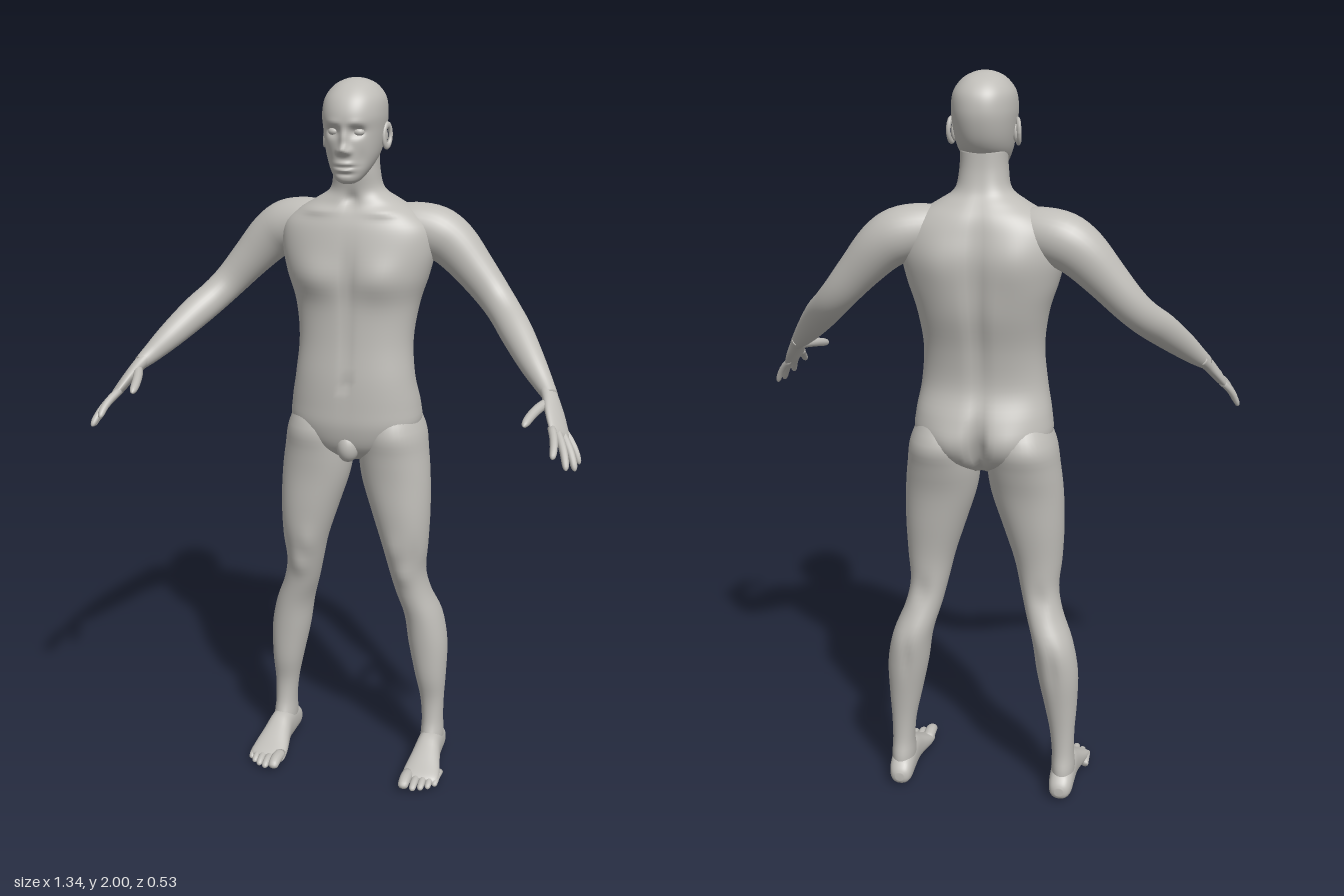
import * as THREE from 'three';

const V = (x, y, z) => new THREE.Vector3(x, y, z);
const UP = V(0, 1, 0), FORWARD = V(0, 0, 1);

// Smooth in-between rows through a list of number rows
function refine(rows, steps) {
  const out = [], last = rows.length - 1;
  for (let i = 0; i < last; i++) {
    const a = rows[Math.max(i - 1, 0)], b = rows[i], c = rows[i + 1], d = rows[Math.min(i + 2, last)];
    for (let s = 0; s < steps; s++) {
      const t = s / steps;
      out.push(b.map((_, k) => b[k] + 0.5 * t * (c[k] - a[k] + t * (2 * a[k] - 5 * b[k] + 4 * c[k] - d[k]
        + t * (3 * (b[k] - c[k]) + d[k] - a[k])))));
    }
  }
  out.push(rows[last]);
  return out;
}

// Closed skin over rounded sections [x, y, z, radiusU, radiusV]; a fixed axis keeps sections parallel
function loft(rows, { ref, axis = null, seg = 24, steps = 4, power = 2 }) {
  const st = refine(rows, steps), pos = [], idx = [], n = st.length;
  const at = i => V(st[i][0], st[i][1], st[i][2]);
  for (let i = 0; i < n; i++) {
    const t = axis ? axis : at(Math.min(i + 1, n - 1)).sub(at(Math.max(i - 1, 0))).normalize();
    const u = ref.clone().addScaledVector(t, -ref.dot(t)).normalize(), v = t.clone().cross(u);
    for (let j = 0; j < seg; j++) {
      const a = j / seg * Math.PI * 2, c = Math.cos(a), s = Math.sin(a);
      const cu = Math.sign(c) * Math.abs(c) ** (2 / power), sv = Math.sign(s) * Math.abs(s) ** (2 / power);
      const p = at(i).addScaledVector(u, cu * st[i][3]).addScaledVector(v, sv * st[i][4]);
      pos.push(p.x, p.y, p.z);
    }
  }
  for (let i = 0; i < n - 1; i++) for (let j = 0; j < seg; j++) {
    const k = (j + 1) % seg, a = i * seg + j, b = i * seg + k;
    idx.push(a, b, b + seg, a, b + seg, a + seg);
  }
  pos.push(...at(0).toArray(), ...at(n - 1).toArray());
  for (let j = 0; j < seg; j++) {
    const k = (j + 1) % seg;
    idx.push(n * seg, k, j, n * seg + 1, (n - 1) * seg + j, (n - 1) * seg + k);
  }
  const g = new THREE.BufferGeometry();
  g.setAttribute('position', new THREE.Float32BufferAttribute(pos, 3));
  g.setIndex(idx);
  g.computeVertexNormals();
  return g;
}

// Horizontal sections given as [y, centreX, halfWidth, back, front]
const column = (rows, opt) => loft(rows.map(([y, x, w, b, f]) => [x, y, (b + f) / 2, w, (f - b) / 2]),
  { ref: V(1, 0, 0), axis: UP, ...opt });

// Soft bumps and hollows [x, y, spreadX, spreadY, depth, side], alike on left and right
function sculpt(g, bumps, mid) {
  const p = g.attributes.position;
  for (let i = 0; i < p.count; i++) {
    const x = Math.abs(p.getX(i)), y = p.getY(i), z = p.getZ(i);
    let dz = 0;
    for (const [bx, by, sx, sy, d, side] of bumps) {
      const k = THREE.MathUtils.clamp((z - mid) * side / 0.06, 0, 1);
      dz += side * k * d * Math.exp(-(((x - bx) / sx) ** 2) - ((y - by) / sy) ** 2);
    }
    p.setZ(i, z + dz);
  }
  g.computeVertexNormals();
  return g;
}

// Mirrored copy across x with corner order restored
function mirrored(g) {
  const m = g.clone().scale(-1, 1, 1), ix = m.index;
  for (let i = 0; i < ix.count; i += 3) {
    const a = ix.getX(i);
    ix.setX(i, ix.getX(i + 1));
    ix.setX(i + 1, a);
  }
  m.computeVertexNormals();
  return m;
}

// Bent, round-tipped finger or toe
function digit(a, b, c, r, ref, flat = 1) {
  const curve = new THREE.QuadraticBezierCurve3(a, b, c);
  const rows = [[0, 1], [0.3, 1], [0.6, 0.95], [0.85, 0.85], [0.96, 0.55], [1, 0.1]].map(([t, k]) =>
    [...curve.getPoint(t).toArray(), r * k, r * k * flat]);
  return loft(rows, { ref, seg: 12, steps: 2 });
}

const ball = (p, r, s) => new THREE.SphereGeometry(1, 24, 16).scale(r * s[0], r * s[1], r * s[2]).translate(...p);

export function createModel() {
  const root = new THREE.Group();
  const clay = new THREE.MeshStandardMaterial({ color: 0xbfbdb8 });
  clay.name = 'warm grey';
  const add = (name, g) => {
    const m = new THREE.Mesh(g, clay);
    m.name = name;
    root.add(m);
  };
  const pair = (name, g) => {
    add('left' + name, g);
    add('right' + name, mirrored(g));
  };

  // Torso and neck
  const torso = column([
    [0.96, 0, 0.05, -0.17, -0.06], [1.0, 0, 0.14, -0.225, -0.02], [1.06, 0, 0.183, -0.25, -0.002],
    [1.12, 0, 0.182, -0.243, -0.001], [1.2, 0, 0.168, -0.216, -0.004], [1.3, 0, 0.16, -0.225, -0.014],
    [1.4, 0, 0.173, -0.25, -0.018], [1.48, 0, 0.198, -0.258, -0.014], [1.55, 0, 0.212, -0.26, -0.018],
    [1.61, 0, 0.205, -0.248, -0.03], [1.65, 0, 0.165, -0.235, -0.045], [1.68, 0, 0.115, -0.215, -0.058],
    [1.71, 0, 0.073, -0.195, -0.063], [1.76, 0, 0.062, -0.183, -0.055], [1.81, 0, 0.06, -0.18, -0.055],
  ], { seg: 80, steps: 5, power: 2.3 });
  add('torso', sculpt(torso, [
    [0.09, 1.48, 0.07, 0.055, 0.016, 1], [0, 1.48, 0.018, 0.08, -0.008, 1], // chest
    [0, 1.3, 0.012, 0.12, -0.005, 1], [0, 1.19, 0.01, 0.012, -0.012, 1], // abdomen
    [0.1, 1.54, 0.06, 0.09, 0.012, -1], [0, 1.4, 0.022, 0.22, -0.014, -1], // shoulder blades and spine
    [0.08, 1.04, 0.055, 0.06, 0.014, -1], [0, 1.03, 0.016, 0.08, -0.04, -1], // buttocks
    [0.1, 1.655, 0.05, 0.012, 0.008, 1], [0, 1.685, 0.018, 0.02, -0.012, 1], // collarbones
  ], -0.125));
  add('groin', ball([0, 1.005, -0.035], 1, [0.032, 0.045, 0.035]));

  // Head with face relief
  const head = column([
    [1.735, 0, 0.018, -0.06, -0.012], [1.745, 0, 0.034, -0.085, 0.0], [1.77, 0, 0.052, -0.13, 0.005],
    [1.8, 0, 0.066, -0.175, 0.006], [1.83, 0, 0.074, -0.2, 0.007], [1.87, 0, 0.08, -0.215, 0.008],
    [1.91, 0, 0.083, -0.22, 0.012], [1.95, 0, 0.077, -0.211, -0.004], [1.98, 0, 0.055, -0.183, -0.035],
    [1.995, 0, 0.028, -0.145, -0.07], [2.0, 0, 0.005, -0.112, -0.102],
  ], { seg: 120, steps: 8, power: 2.2 });
  add('head', sculpt(head, [
    [0, 1.825, 0.013, 0.013, 0.02, 1], [0, 1.853, 0.011, 0.026, 0.012, 1], [0.014, 1.82, 0.008, 0.008, 0.008, 1], // nose
    [0.033, 1.87, 0.018, 0.013, -0.016, 1], [0.03, 1.893, 0.024, 0.009, 0.004, 1], // sockets and brows
    [0, 1.789, 0.022, 0.006, 0.007, 1], [0, 1.772, 0.018, 0.006, 0.007, 1], [0, 1.78, 0.026, 0.003, -0.006, 1], // lips
    [0, 1.762, 0.025, 0.006, -0.005, 1], [0.045, 1.8, 0.014, 0.025, -0.004, 1], // chin and cheeks
  ], -0.07));
  pair('Eye', ball([0.033, 1.869, -0.019], 0.014, [1.15, 0.8, 1]));
  const ear = new THREE.TorusGeometry(0.017, 0.006, 10, 24).scale(1, 1.6, 1).rotateY(Math.PI / 2 - 0.3)
    .rotateX(-0.15).translate(0.085, 1.852, -0.11);
  pair('EarRim', ear);
  pair('EarBowl', ball([0.079, 1.85, -0.106], 1, [0.008, 0.026, 0.016]));

  // Arms
  pair('Arm', loft([
    [0.1, 1.605, -0.155, 0.055, 0.06], [0.15, 1.605, -0.16, 0.065, 0.068], [0.21, 1.592, -0.168, 0.07, 0.072],
    [0.26, 1.56, -0.17, 0.064, 0.067], [0.32, 1.497, -0.163, 0.053, 0.056], [0.375, 1.435, -0.15, 0.045, 0.048],
    [0.415, 1.392, -0.122, 0.043, 0.045], [0.457, 1.35, -0.07, 0.041, 0.044], [0.51, 1.293, -0.003, 0.034, 0.036],
    [0.55, 1.25, 0.042, 0.026, 0.026], [0.572, 1.228, 0.07, 0.024, 0.019],
  ], { ref: FORWARD, seg: 32 }));

  // Hands
  const spread = V(0.43, -0.31, -0.85);
  pair('Palm', loft([
    [0.556, 1.246, 0.045, 0.024, 0.02], [0.572, 1.226, 0.073, 0.027, 0.018], [0.588, 1.2, 0.105, 0.036, 0.016],
    [0.602, 1.175, 0.135, 0.039, 0.014], [0.612, 1.157, 0.157, 0.037, 0.011], [0.616, 1.15, 0.165, 0.026, 0.005],
  ], { ref: spread, seg: 28 }));
  [['Index', 0.61, 1.122, 0.26], ['Middle', 0.643, 1.09, 0.243], ['Ring', 0.66, 1.076, 0.2], ['Little', 0.665, 1.08, 0.155]]
    .forEach(([name, x, y, z], i) => {
      const base = V(0.605, 1.165, 0.145).addScaledVector(spread, (i - 1.5) * 0.019), tip = V(x, y, z);
      const bend = base.clone().lerp(tip, 0.55).add(V(0.01, 0.009, 0.005));
      pair(name + 'Finger', digit(base, bend, tip, i === 3 ? 0.009 : 0.0105, spread));
    });
  pair('Thumb', digit(V(0.572, 1.218, 0.085), V(0.54, 1.212, 0.145), V(0.53, 1.188, 0.222), 0.013, spread));

  // Legs
  const leg = column([
    [1.14, 0.095, 0.06, -0.2, -0.05], [1.05, 0.107, 0.088, -0.25, -0.014], [0.98, 0.109, 0.098, -0.237, -0.02],
    [0.9, 0.118, 0.098, -0.215, -0.027], [0.8, 0.135, 0.084, -0.2, -0.03], [0.7, 0.149, 0.066, -0.186, -0.04],
    [0.62, 0.155, 0.053, -0.186, -0.06], [0.55, 0.17, 0.051, -0.2, -0.073], [0.47, 0.197, 0.055, -0.228, -0.085],
    [0.38, 0.212, 0.057, -0.222, -0.092], [0.28, 0.222, 0.046, -0.208, -0.1], [0.2, 0.228, 0.035, -0.2, -0.115],
    [0.13, 0.231, 0.031, -0.2, -0.112], [0.08, 0.232, 0.033, -0.21, -0.095], [0.03, 0.232, 0.03, -0.21, -0.09],
  ].reverse(), { seg: 40, power: 2.1 });
  pair('Leg', sculpt(leg, [
    [0.155, 0.62, 0.03, 0.035, 0.01, 1], [0.19, 0.68, 0.018, 0.05, -0.005, 1], [0.125, 0.7, 0.025, 0.04, 0.006, 1], // knee
    [0.165, 0.6, 0.025, 0.04, -0.008, -1], [0.205, 0.42, 0.012, 0.07, -0.006, -1], // knee hollow and calf
  ], -0.125));

  // Feet: sections as [z, centreX, halfWidth, bottom, top]
  pair('Foot', loft([
    [-0.23, 0.23, 0.012, 0.022, 0.045], [-0.222, 0.23, 0.025, 0.01, 0.06], [-0.2, 0.231, 0.033, 0.002, 0.08],
    [-0.15, 0.232, 0.035, 0, 0.1], [-0.1, 0.233, 0.037, 0.002, 0.1], [-0.06, 0.234, 0.043, 0.003, 0.08],
    [-0.015, 0.235, 0.052, 0.001, 0.055], [0.02, 0.235, 0.054, 0.002, 0.037], [0.035, 0.228, 0.045, 0.006, 0.027],
  ].map(([z, x, w, b, t]) => [x, (b + t) / 2, z, w, (t - b) / 2]), { ref: V(1, 0, 0), axis: FORWARD, seg: 32, power: 2.3 }));
  [['Big', 0.199, 0.084, 0.0175], ['Second', 0.226, 0.08, 0.0115], ['Third', 0.247, 0.07, 0.011],
    ['Fourth', 0.266, 0.056, 0.0105], ['Little', 0.282, 0.037, 0.0105]].forEach(([name, x, z, r]) => {
    pair(name + 'Toe', digit(V(x, r + 0.005, z - 0.075), V(x, r + 0.018, z - 0.025), V(x, r - 0.002, z), r, V(1, 0, 0), 0.9));
  });

  return root;
}
